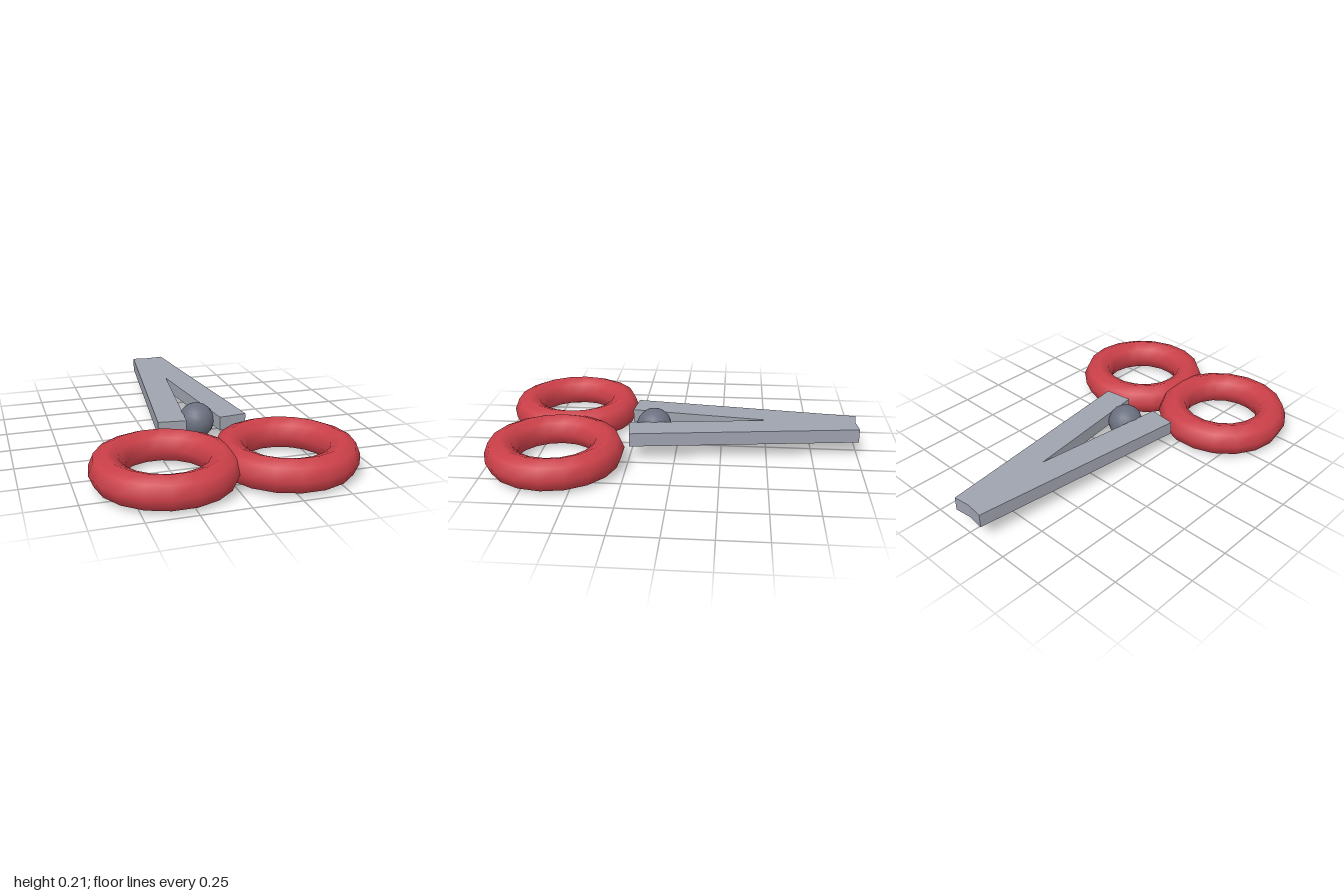
import * as THREE from 'three';

export function createModel() {
  const model = new THREE.Group();
  model.name = 'scissors';

  const red = new THREE.MeshStandardMaterial({ color: 0xcc4049 });
  const steel = new THREE.MeshStandardMaterial({ color: 0x9fa3ae });
  const darkSteel = new THREE.MeshStandardMaterial({ color: 0x6b7080 });

  const add = (name, geometry, material, x, y, z) => {
    const mesh = new THREE.Mesh(geometry, material);
    mesh.name = name;
    mesh.position.set(x, y, z);
    model.add(mesh);
    return mesh;
  };

  // Finger rings and blades, mirrored about x = 0
  const ring = new THREE.TorusGeometry(0.285, 0.0875, 8, 18).rotateX(Math.PI / 2);
  const bar = new THREE.BoxGeometry(0.153, 0.075, 1.25);
  for (const [side, s] of [['left', 1], ['right', -1]]) {
    add(side + 'FingerRing', ring, red, s * 0.312, 0.0885, 0.633);
    add(side + 'Blade', bar, steel, s * 0.094, 0.13, -0.37).rotation.y = s * 0.12;
  }

  // Pivot between the blades
  add('pivot', new THREE.SphereGeometry(0.098, 16, 12), darkSteel, 0, 0.116, 0.13);

  return model;
}
